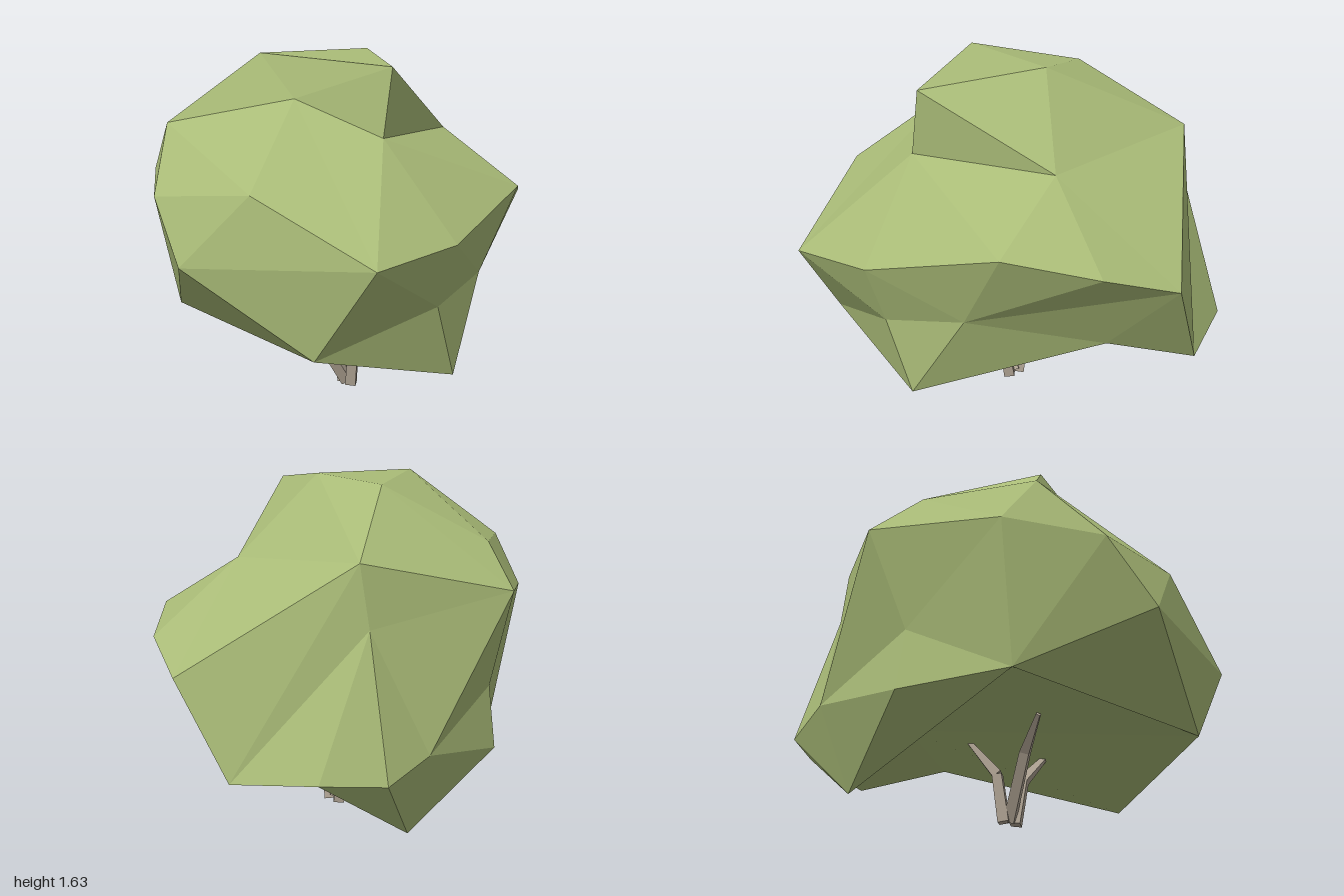
import * as THREE from 'three';

// Corner points of the faceted crown
const P = {
  A: [0.14, 1.63, -0.05], B: [-0.44, 1.62, -0.1], C: [0.04, 1.59, -0.36], D: [-0.13, 1.57, 0.48],
  E: [-0.18, 1.26, 0.48], F: [0.44, 1.25, 0.17], G: [0.47, 1.31, -0.64], H: [0.54, 1, 0.59],
  I: [1, 0.81, -0.05], J: [0.85, 0.92, 0.28], K: [-0.07, 0.83, 0.85], L: [-0.54, 0.78, 0.895],
  M: [-1, 0.72, 0.1], N: [-0.975, 1, -0.15], O: [-0.755, 1.07, -0.54], P: [-0.78, 1.3, -0.37],
  Q: [-0.8, 1.05, 0.36], R: [-0.39, 1.42, 0.1], S: [-0.24, 1.14, -0.9], T: [0.25, 0.48, -0.85],
  U: [0.51, 0.4, -0.85], V: [0.45, 1.03, -0.68], W: [0.9, 0.37, -0.29], X: [0.68, 0.48, 0.07],
  Y: [0.05, 0.2, 0.7], Z: [0.22, 0.08, -0.7], a: [-0.65, 0.36, 0.61], b: [0.3, 0.62, 0.59],
  c: [-0.08, 0.54, 0.74], d: [0.73, 0.41, -0.66], e: [-0.33, 1.33, -0.68], f: [-0.69, 0.42, -0.44],
  g: [-0.3, 0.67, -0.73], h: [-0.3, 0.38, -0.77], k: [0.18, 0.43, -0.43], n: [-0.66, 0.49, -0.13],
};

// Facets as fans: a hub, then its neighbours in counter-clockwise order
const FANS = [
  'ABDFGCB', 'BCePRD', 'DREF', 'CGSe', 'eSO',            // top
  'ERLKHF', 'RPQL', 'FHJIG', 'PeONQ', 'QNML', 'MaL',     // upper sides
  'bcYXIJHKc', 'cKLaY', 'IXWG', 'VWdUTSGW',              // front and right
  'TUZhgS', 'ghfOS', 'NOfM', 'ZUd', 'Zfh', 'Mfa',        // back and left
  'knfZdWXYan', 'naf',                                   // hollow underside
];

function crownGeometry() {
  const pos = [];
  for (const [hub, ...ring] of FANS)
    for (let i = 0; i + 1 < ring.length; i++)
      pos.push(...P[hub], ...P[ring[i]], ...P[ring[i + 1]]);
  const g = new THREE.BufferGeometry();
  g.setAttribute('position', new THREE.Float32BufferAttribute(pos, 3));
  g.computeVertexNormals();
  return g;
}

// Tapered four-sided limb between two points
function limb(from, to, r0, r1, material) {
  const a = new THREE.Vector3(...from), b = new THREE.Vector3(...to);
  const dir = b.clone().sub(a);
  const mesh = new THREE.Mesh(new THREE.CylinderGeometry(r1, r0, dir.length(), 4), material);
  mesh.position.copy(a).add(b).multiplyScalar(0.5);
  mesh.quaternion.setFromUnitVectors(new THREE.Vector3(0, 1, 0), dir.normalize());
  return mesh;
}

export function createModel() {
  const leaf = new THREE.MeshStandardMaterial({ color: 0xa9bb77, flatShading: true });
  const bark = new THREE.MeshStandardMaterial({ color: 0xb0a494, flatShading: true });
  const group = new THREE.Group();

  const crown = new THREE.Mesh(crownGeometry(), leaf);
  crown.name = 'crown';
  group.add(crown);

  // Short trunk: three bent stems spreading from one foot
  const trunk = new THREE.Group();
  trunk.name = 'trunk';
  const stems = [
    [[-0.02, 0.015, 0], [-0.19, 0.29, -0.03], [-0.34, 0.42, -0.06]],
    [[-0.02, 0.005, 0.033], [-0.03, 0.22, 0.07], [-0.05, 0.36, 0.19]],
    [[-0.02, 0.005, -0.03], [-0.01, 0.23, -0.06], [0.09, 0.41, -0.16]],
  ];
  for (const [p, q, r] of stems) {
    const stem = new THREE.Group();
    stem.name = 'stem';
    stem.add(limb(p, q, 0.036, 0.032, bark), limb(q, r, 0.032, 0.014, bark));
    trunk.add(stem);
  }
  group.add(trunk);
  return group;
}
